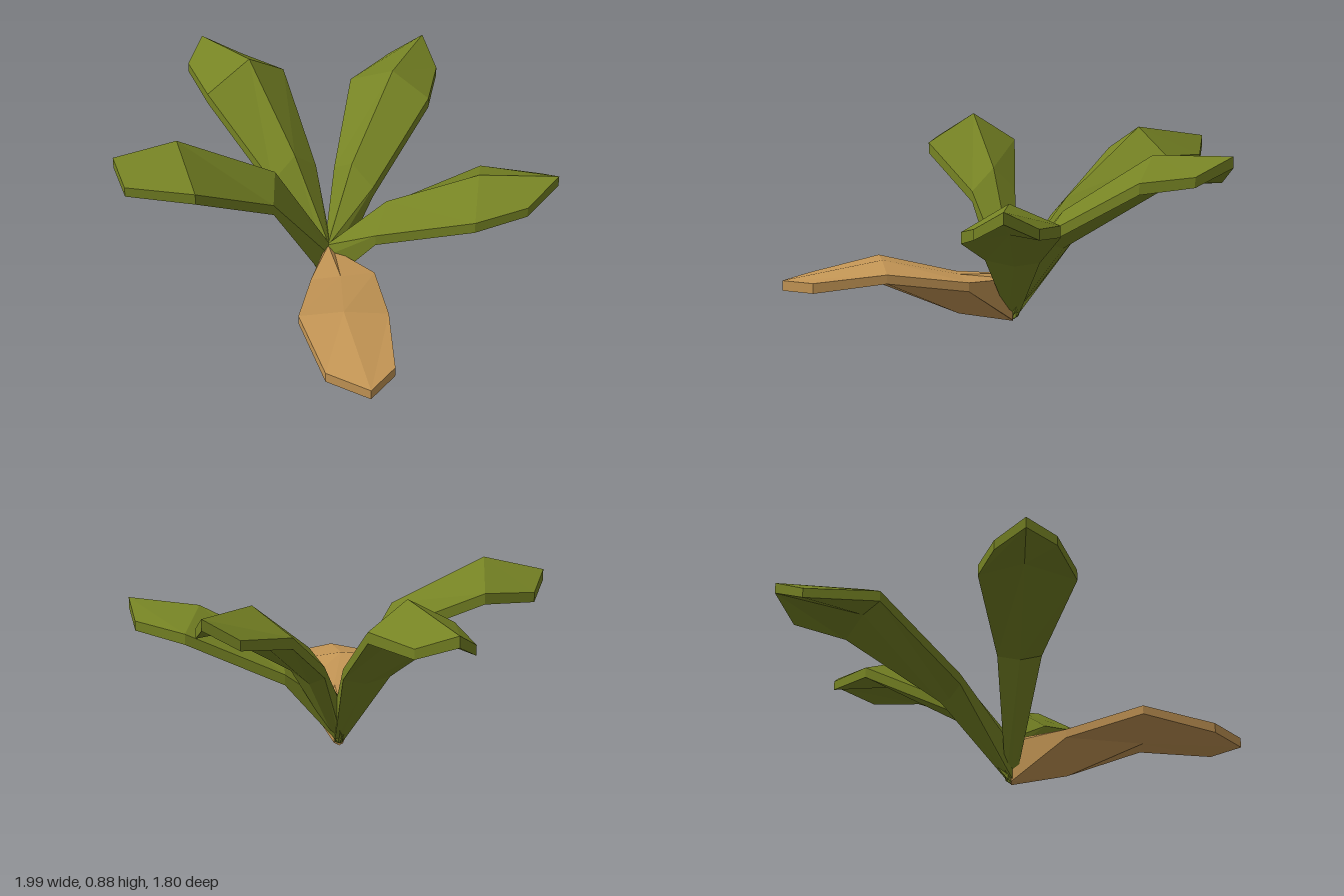
import * as THREE from 'three';

const leafGreen = new THREE.MeshStandardMaterial({ color: 0x768324 });
leafGreen.name = 'leafGreen';
leafGreen.flatShading = true;
const dryBrown = new THREE.MeshStandardMaterial({ color: 0xc49655 });
dryBrown.name = 'dryBrown';
dryBrown.flatShading = true;

// Each section holds the left edge, midrib and right edge of the upper face,
// seen from above looking outward; drops give the thickness below each.
function leafGeometry(sections, drops) {
  const rings = sections.map((top, i) => {
    const [edge, mid] = drops[i];
    const low = top.map(([x, y, z], k) => [x, y - (k === 1 ? mid : edge), z]);
    return [...top, ...low.reverse()];
  });
  const pos = [];
  const quad = (a, b, c, d) => pos.push(...a, ...b, ...c, ...a, ...c, ...d);
  for (let i = 0; i < rings.length - 1; i++) {
    for (let j = 0; j < 6; j++) {
      const k = (j + 1) % 6;
      quad(rings[i][j], rings[i][k], rings[i + 1][k], rings[i + 1][j]);
    }
  }
  // End caps
  const r = rings[0], t = rings[rings.length - 1];
  quad(t[0], t[1], t[4], t[5]);
  quad(t[1], t[2], t[3], t[4]);
  quad(r[5], r[4], r[1], r[0]);
  quad(r[4], r[3], r[2], r[1]);
  const g = new THREE.BufferGeometry();
  g.setAttribute('position', new THREE.Float32BufferAttribute(pos, 3));
  g.computeVertexNormals();
  return g;
}

// Narrow, tall root section at the plant centre, turned towards the leaf
function rootSection([nx, , nz]) {
  const cx = 0.12, cz = 0.045, w = 0.022;
  const len = Math.hypot(nx - cx, nz - cz);
  const dx = (nx - cx) / len, dz = (nz - cz) / len;
  return [
    [cx + dz * w, 0.19, cz - dx * w],
    [cx - dx * 0.01, 0.23, cz - dz * 0.01],
    [cx - dz * w, 0.19, cz + dx * w],
  ];
}

// Neck, widest part and tip of every green leaf
const greenLeaves = {
  leftSideLeaf: [
    [[-0.19, 0.45, 0.11], [-0.17, 0.55, -0.01], [-0.15, 0.46, -0.12]],
    [[-0.62, 0.73, 0.13], [-0.58, 0.85, -0.09], [-0.56, 0.73, -0.28]],
    [[-0.93, 0.71, 0.0], [-0.995, 0.78, -0.14], [-0.84, 0.71, -0.25]],
  ],
  backLeaf: [
    [[-0.08, 0.46, -0.17], [0.03, 0.53, -0.18], [0.15, 0.45, -0.2]],
    [[-0.33, 0.69, -0.5], [-0.12, 0.8, -0.57], [0.05, 0.7, -0.64]],
    [[-0.35, 0.72, -0.77], [-0.26, 0.81, -0.9], [-0.09, 0.73, -0.83]],
  ],
  backRightLeaf: [
    [[0.2, 0.37, -0.2], [0.3, 0.48, -0.14], [0.36, 0.38, -0.02]],
    [[0.46, 0.56, -0.57], [0.6, 0.65, -0.41], [0.73, 0.53, -0.26]],
    [[0.71, 0.59, -0.69], [0.86, 0.67, -0.64], [0.85, 0.58, -0.46]],
  ],
  frontLeaf: [
    [[0.09, 0.57, 0.34], [0.02, 0.68, 0.27], [-0.06, 0.58, 0.21]],
    [[0.02, 0.76, 0.71], [-0.2, 0.89, 0.63], [-0.36, 0.76, 0.51]],
    [[-0.22, 0.76, 0.9], [-0.35, 0.83, 0.86], [-0.43, 0.75, 0.74]],
  ],
};

// Flatter, drooping dry leaf
const dryLeaf = [
  [[0.14, 0.21, 0.03], [0.12, 0.23, 0.045], [0.11, 0.21, 0.06]],
  [[0.41, 0.23, 0.03], [0.34, 0.24, 0.17], [0.26, 0.23, 0.275]],
  [[0.71, 0.28, 0.23], [0.6, 0.31, 0.39], [0.485, 0.3, 0.545]],
  [[0.96, 0.25, 0.43], [0.995, 0.245, 0.6], [0.79, 0.245, 0.665]],
];

export function createModel() {
  const group = new THREE.Group();
  group.name = 'plant';
  // Every leaf has a deep keel near its root that flattens towards the tip
  const add = (name, sections, drops, material) => {
    const mesh = new THREE.Mesh(leafGeometry(sections, drops), material);
    mesh.name = name;
    group.add(mesh);
  };
  const greenDrops = [[0.16, 0.21], [0.05, 0.17], [0.05, 0.13], [0.045, 0.05]];
  for (const [name, sections] of Object.entries(greenLeaves)) {
    add(name, [rootSection(sections[0][1]), ...sections], greenDrops, leafGreen);
  }
  const dryDrops = [[0.19, 0.22], [0.04, 0.18], [0.04, 0.11], [0.045, 0.045]];
  add('dryLeaf', dryLeaf, dryDrops, dryBrown);
  return group;
}
